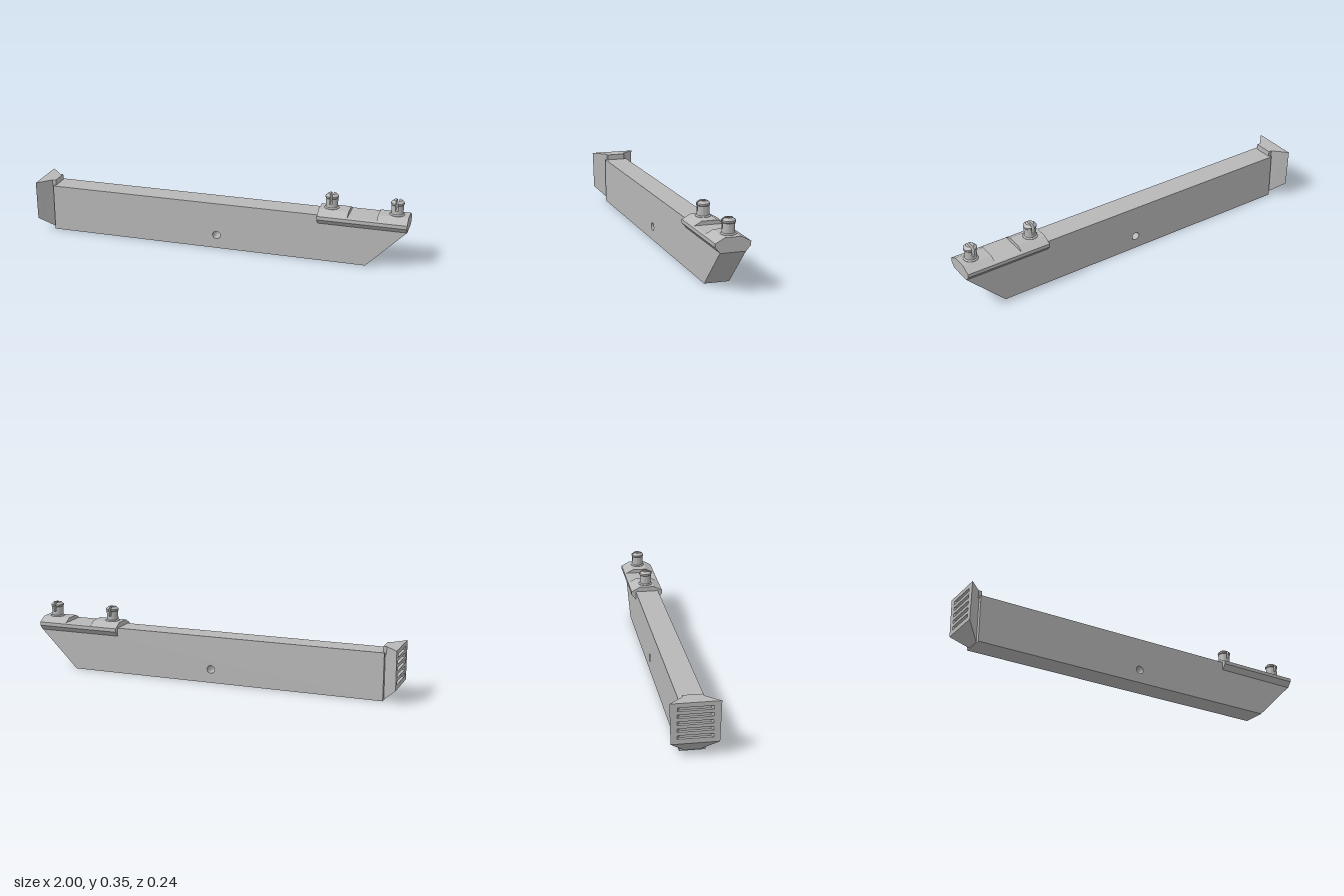
import * as THREE from 'three';
import { toCreasedNormals } from 'three/addons/utils/BufferGeometryUtils.js';

const grey = new THREE.MeshStandardMaterial({ color: 0xb8b8b8 });
grey.name = 'plain grey';

const shapeOf = (pts) => new THREE.Shape(pts.map(([a, b]) => new THREE.Vector2(a, b)));
// mirror a half outline (bottom to top, positive side) into a closed shape
const mirrored = (half) => shapeOf([...half, ...[...half].reverse().map(([a, b]) => [-a, b])]);

function add(parent, name, geometry) {
  const mesh = new THREE.Mesh(geometry, grey);
  mesh.name = name;
  parent.add(mesh);
  return mesh;
}

// extrude a (z, y) section along x from x0 to x1
function alongX(shape, x0, x1) {
  return new THREE.ExtrudeGeometry(shape, { depth: x1 - x0, bevelEnabled: false, curveSegments: 8 })
    .rotateY(-Math.PI / 2).translate(x1, 0, 0);
}

// narrow the end block from its wide outer face towards the bar
function flare(geometry) {
  const p = geometry.attributes.position;
  for (let i = 0; i < p.count; i++) {
    const t = (p.getX(i) + 1) / 0.075;
    p.setZ(i, p.getZ(i) * (1 - 0.66 * t));
    if (p.getY(i) < 0.08) p.setY(i, p.getY(i) - 0.072 * t);
  }
  geometry.computeVertexNormals();
  return geometry;
}

function makeStud(x) {
  const stud = new THREE.Group();
  stud.name = 'splitStud';
  const lathe = (pts, ...arc) => new THREE.LatheGeometry(pts.map(([a, b]) => new THREE.Vector2(a, b)), ...arc);
  add(stud, 'studBase', toCreasedNormals(
    lathe([[0.038, 0.27], [0.038, 0.278], [0.031, 0.283], [0.031, 0.302], [0, 0.302]], 32), 0.5));

  // two half heads with a slot between them
  const profile = [[0.031, 0.30], [0.031, 0.329], [0.034, 0.333], [0.034, 0.341], [0.021, 0.353], [0, 0.353]];
  const slot = 0.006;
  const half = lathe(profile, 20, 0, Math.PI);
  const p = half.attributes.position;
  for (let i = 0; i < p.count; i++) p.setX(i, Math.max(p.getX(i), slot));
  const shell = toCreasedNormals(half, 0.5);
  const wall = new THREE.ShapeGeometry(mirrored(profile.slice(0, -1))).rotateY(-Math.PI / 2).translate(slot, 0, 0);
  for (const turn of [0, Math.PI]) {
    add(stud, 'studHalf', shell).rotation.y = turn;
    add(stud, 'slotWall', wall).rotation.y = turn;
  }
  stud.position.x = x;
  return stud;
}

export function createModel() {
  const model = new THREE.Group();
  model.name = 'mountingBar';

  // long bar with a slanted end and a cross hole
  const side = shapeOf([[-0.925, 0], [0.795, 0], [0.997, 0.203], [0.997, 0.25], [-0.925, 0.25]]);
  side.holes.push(new THREE.Path().absarc(0, 0.073, 0.021, 0, Math.PI * 2, true));
  add(model, 'bar', toCreasedNormals(
    new THREE.ExtrudeGeometry(side, { depth: 0.126, bevelEnabled: false, curveSegments: 16 })
      .translate(0, 0, -0.063), 0.5));

  // flared end block with a slotted outer face
  const outline = [[0.115, 0.075], [0.121, 0.28]];
  const grille = mirrored(outline);
  for (let i = 0; i < 5; i++) {
    const y = 0.1 + i * 0.035, w = 0.085, h = 0.018;
    grille.holes.push(new THREE.Path([[-w, y], [-w, y + h], [w, y + h], [w, y]].map(([a, b]) => new THREE.Vector2(a, b))));
  }
  add(model, 'slottedEndFace', flare(alongX(grille, -1, -0.985)));
  add(model, 'flaredEnd', flare(alongX(mirrored(outline), -0.985, -0.925)));
  add(model, 'endLip', new THREE.BoxGeometry(0.022, 0.04, 0.1).translate(-0.926, 0.26, 0));

  // top rail: two raised pads joined by a lower middle
  const lower = [[0.063, 0.205], [0.087, 0.232], [0.087, 0.251]];
  const pad = mirrored([...lower, [0.04, 0.276]]);
  add(model, 'railPad', alongX(pad, 0.54, 0.695));
  add(model, 'railPad', alongX(pad, 0.845, 1));
  add(model, 'railMiddle', alongX(mirrored([...lower, [0.078, 0.256]]), 0.695, 0.845));

  for (const x of [0.6, 0.936]) model.add(makeStud(x));
  return model;
}
